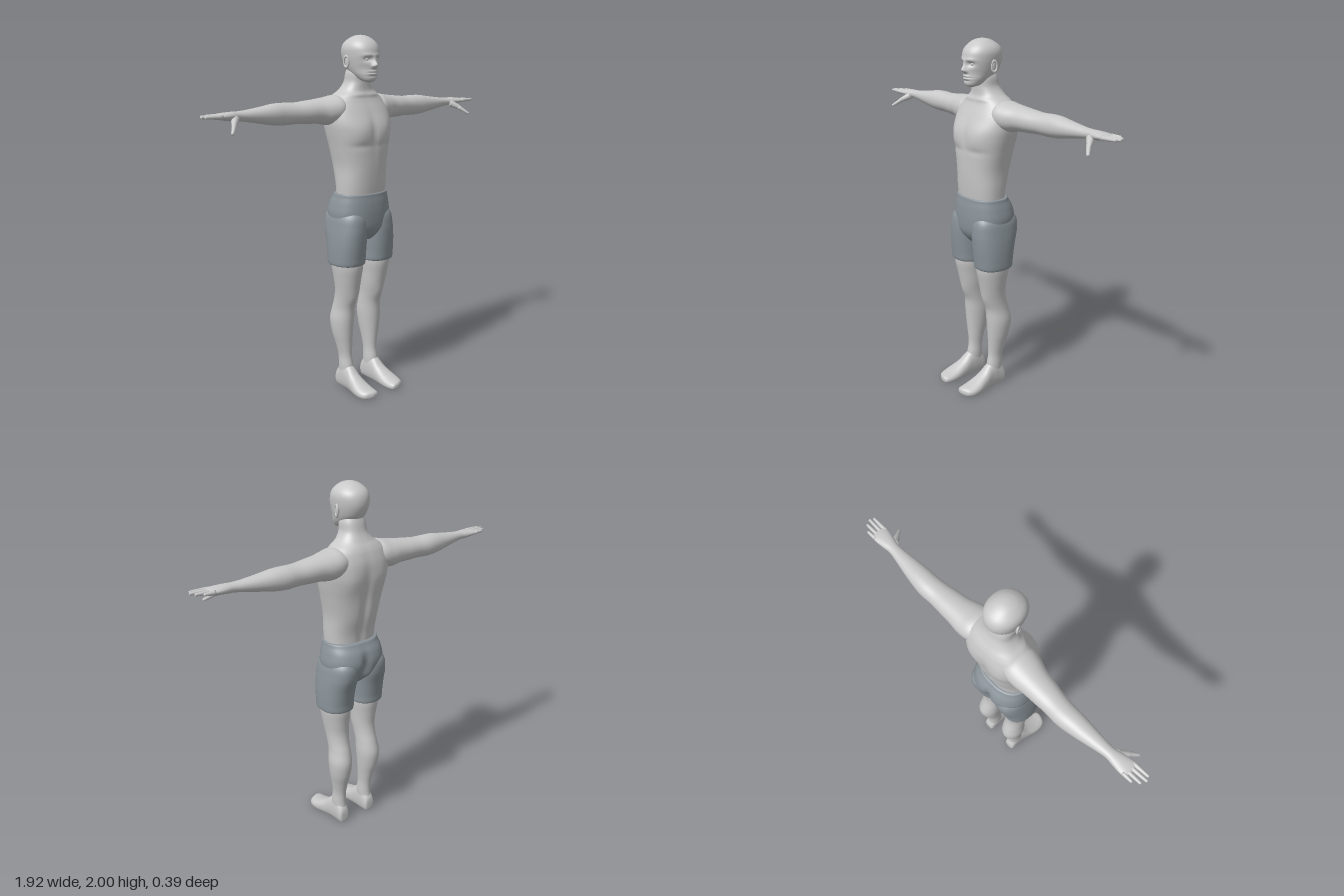
import * as THREE from 'three';

const skin = new THREE.MeshStandardMaterial({ color: 0xc8c8c8 });
skin.name = 'skin';
const cloth = new THREE.MeshStandardMaterial({ color: 0x8b949a });
cloth.name = 'cloth';

// Axis order: [t, a, b] -> xyz
const AXES = {
  x: (t, a, b) => [t, a, b],
  y: (t, a, b) => [a, t, b],
  z: (t, a, b) => [a, b, t],
};

// Catmull-Rom blend of neighbouring section rows
function rowAt(rows, f) {
  const i = Math.min(Math.floor(f), rows.length - 2), u = f - i;
  const r = (k) => rows[Math.max(0, Math.min(rows.length - 1, k))];
  return rows[i].map((_, c) => {
    const p0 = r(i - 1)[c], p1 = r(i)[c], p2 = r(i + 1)[c], p3 = r(i + 2)[c];
    return p1 + 0.5 * u * (p2 - p0 + u * (2 * p0 - 5 * p1 + 4 * p2 - p3 + u * (3 * (p1 - p2) + p3 - p0)));
  });
}

// Soft mirrored swelling: [cx,cy,cz, sx,sy,sz, dx,dy,dz]
function sculpt(p, bumps) {
  const [x, y, z] = p, side = x < 0 ? -1 : 1;
  for (const [cx, cy, cz, sx, sy, sz, dx, dy, dz] of bumps) {
    const w = Math.exp(-(((Math.abs(x) - cx) / sx) ** 2 + ((y - cy) / sy) ** 2 + ((z - cz) / sz) ** 2) / 2);
    p[0] += side * dx * w;
    p[1] += dy * w;
    p[2] += dz * w;
  }
  return p;
}

// Closed smooth body through rows [t, a0, a1, b0, b1]
function loft(rows, { axis = 'y', power = 2, ring = 40, steps = 5, bumps = [], side = 1, floor = false } = {}) {
  const pos = [], idx = [], n = (rows.length - 1) * steps;
  const put = (t, a, b) => {
    const p = sculpt(AXES[axis](t, a, b), bumps);
    pos.push(p[0] * side, floor ? Math.max(0, p[1]) : p[1], p[2]);
  };
  const round = (v) => Math.sign(v) * Math.abs(v) ** (2 / power);
  for (let i = 0; i <= n; i++) {
    const [t, a0, a1, b0, b1] = rowAt(rows, i / steps);
    for (let j = 0; j < ring; j++) {
      const g = (j / ring) * Math.PI * 2;
      put(t, (a0 + a1) / 2 + ((a1 - a0) / 2) * round(Math.cos(g)), (b0 + b1) / 2 + ((b1 - b0) / 2) * round(Math.sin(g)));
    }
  }
  for (let i = 0; i < n; i++) for (let j = 0; j < ring; j++) {
    const k = (j + 1) % ring, a = i * ring + j, b = i * ring + k;
    idx.push(a, b, b + ring, a, b + ring, a + ring);
  }
  const cap = (row, first, flip) => {
    const c = pos.length / 3;
    put(row[0], (row[1] + row[2]) / 2, (row[3] + row[4]) / 2);
    for (let j = 0; j < ring; j++) {
      const a = first + j, b = first + (j + 1) % ring;
      if (flip) idx.push(c, b, a); else idx.push(c, a, b);
    }
  };
  cap(rows[0], 0, true);
  cap(rows[rows.length - 1], n * ring, false);

  // Turn faces outward by the sign of the enclosed volume
  let volume = 0;
  const v = (i) => new THREE.Vector3().fromArray(pos, idx[i] * 3);
  for (let i = 0; i < idx.length; i += 3) volume += v(i).dot(v(i + 1).cross(v(i + 2)));
  if (volume < 0) idx.reverse();
  const geo = new THREE.BufferGeometry();
  geo.setAttribute('position', new THREE.Float32BufferAttribute(pos, 3));
  geo.setIndex(idx);
  geo.computeVertexNormals();
  return geo;
}

function add(parent, name, geo, mat = skin) {
  const m = new THREE.Mesh(geo, mat);
  m.name = name;
  parent.add(m);
  return m;
}

// Tapered round-ended digit between two points
function digit(parent, name, from, to, r0, r1) {
  const a = new THREE.Vector3(...from), d = new THREE.Vector3(...to).sub(a), L = d.length();
  const rows = [[0, r0], [L * 0.5, (r0 + r1) / 2], [L - r1, r1], [L - r1 * 0.35, r1 * 0.75], [L, r1 * 0.1]]
    .map(([t, r]) => [t, -r, r, -r, r]);
  const m = add(parent, name, loft(rows, { ring: 14, steps: 3 }));
  m.position.copy(a);
  m.quaternion.setFromUnitVectors(new THREE.Vector3(0, 1, 0), d.normalize());
}

const symmetric = (rows) => rows.map(([y, w, z0, z1]) => [y, -w, w, z0, z1]);

export function createModel() {
  const body = new THREE.Group();
  body.name = 'figure';

  // Torso and neck, with chest, breastbone, spine and shoulder blades
  add(body, 'torso', loft(symmetric([
    [1.11, 0.145, -0.122, 0.082], [1.2, 0.149, -0.13, 0.091], [1.3, 0.153, -0.155, 0.097],
    [1.4, 0.172, -0.17, 0.098], [1.48, 0.19, -0.182, 0.096], [1.54, 0.2, -0.187, 0.087],
    [1.6, 0.198, -0.185, 0.064], [1.65, 0.175, -0.172, 0.04], [1.68, 0.142, -0.158, 0.028],
    [1.71, 0.1, -0.138, 0.021], [1.75, 0.073, -0.118, 0.02], [1.8, 0.067, -0.105, 0.02], [1.84, 0.05, -0.09, 0],
  ]), {
    power: 2.35, ring: 96, steps: 8, bumps: [
      [0.085, 1.49, 0.09, 0.055, 0.05, 0.06, 0, 0, 0.013],
      [0.09, 1.415, 0.1, 0.05, 0.012, 0.05, 0, 0, -0.005],
      [0, 1.5, 0.1, 0.012, 0.07, 0.05, 0, 0, -0.005],
      [0, 1.33, -0.17, 0.017, 0.15, 0.05, 0, 0, 0.015],
      [0.1, 1.52, -0.17, 0.04, 0.05, 0.04, 0, 0, -0.009],
      [0.05, 1.685, 0.02, 0.05, 0.009, 0.03, 0, 0, 0.005],
    ],
  }));

  // Head with brow, eye sockets, nose, lips and chin
  const head = new THREE.Group();
  head.name = 'head';
  body.add(head);
  add(head, 'skull', loft(symmetric([
    [1.752, 0.015, 0.035, 0.065], [1.763, 0.04, 0, 0.082], [1.79, 0.06, -0.055, 0.088], [1.82, 0.073, -0.1, 0.088],
    [1.85, 0.082, -0.122, 0.09], [1.89, 0.09, -0.135, 0.092], [1.93, 0.092, -0.133, 0.086], [1.96, 0.08, -0.117, 0.068],
    [1.985, 0.052, -0.082, 0.036], [1.997, 0.025, -0.05, 0.004], [2, 0.002, -0.025, -0.021],
  ]), {
    power: 2.1, ring: 128, steps: 10, bumps: [
      [0, 1.843, 0.09, 0.009, 0.011, 0.04, 0, 0, 0.022],
      [0, 1.867, 0.09, 0.008, 0.016, 0.04, 0, 0, 0.011],
      [0.012, 1.837, 0.09, 0.006, 0.006, 0.03, 0, 0, 0.008],
      [0.033, 1.873, 0.085, 0.016, 0.01, 0.04, 0, 0, -0.013],
      [0.03, 1.894, 0.085, 0.024, 0.007, 0.04, 0, 0, 0.005],
      [0, 1.809, 0.09, 0.017, 0.004, 0.04, 0, 0, 0.007],
      [0, 1.796, 0.09, 0.015, 0.004, 0.04, 0, 0, 0.007],
      [0, 1.803, 0.09, 0.022, 0.002, 0.04, 0, 0, -0.005],
      [0, 1.785, 0.09, 0.02, 0.004, 0.04, 0, 0, -0.004],
      [0.055, 1.825, 0.06, 0.018, 0.018, 0.04, 0, 0, -0.004],
    ],
  }));

  for (const side of [1, -1]) {
    const label = side > 0 ? 'left' : 'right';
    const half = new THREE.Group();
    half.name = label + 'Limbs';
    body.add(half);

    // Eye and ear
    add(head, label + 'Eye', new THREE.SphereGeometry(0.012, 20, 14)).position.set(side * 0.033, 1.873, 0.064);
    const ear = add(head, label + 'Ear', new THREE.TorusGeometry(0.02, 0.006, 10, 28));
    ear.scale.set(0.75, 1.4, 1);
    ear.rotation.y = side * (Math.PI / 2 - 0.3);
    ear.position.set(side * 0.091, 1.86, -0.032);
    const lobe = add(head, label + 'EarBowl', new THREE.SphereGeometry(0.02, 16, 12));
    lobe.scale.set(0.4, 1.4, 0.75);
    lobe.position.set(side * 0.086, 1.86, -0.03);

    // Arm from shoulder to palm
    add(half, label + 'Arm', loft([
      [0.08, 1.57, 1.66, -0.15, -0.01], [0.14, 1.535, 1.684, -0.17, 0.025], [0.2, 1.527, 1.676, -0.172, 0.016],
      [0.26, 1.537, 1.668, -0.166, -0.005], [0.33, 1.54, 1.661, -0.163, -0.017], [0.4, 1.543, 1.655, -0.16, -0.03],
      [0.47, 1.541, 1.657, -0.163, -0.037], [0.53, 1.545, 1.655, -0.157, -0.039], [0.6, 1.557, 1.645, -0.145, -0.045],
      [0.7, 1.575, 1.633, -0.125, -0.055], [0.75, 1.582, 1.63, -0.118, -0.056], [0.79, 1.584, 1.63, -0.122, -0.047],
      [0.84, 1.592, 1.627, -0.127, -0.038], [0.87, 1.599, 1.622, -0.124, -0.039], [0.882, 1.606, 1.615, -0.11, -0.055],
    ], { axis: 'x', power: 2.1, side }));

    // Fingers, from index to little, and thumb
    const fingers = [[-0.047, 0.952, -0.045], [-0.07, 0.962, -0.066], [-0.093, 0.948, -0.094], [-0.115, 0.915, -0.118]];
    fingers.forEach(([z, tipX, tipZ], i) =>
      digit(half, label + 'Finger' + (i + 1), [side * 0.855, 1.61, z], [side * tipX, 1.613, tipZ], 0.012, 0.0075));
    digit(half, label + 'ThumbBase', [side * 0.772, 1.597, -0.065], [side * 0.82, 1.562, -0.006], 0.021, 0.012);
    digit(half, label + 'Thumb', [side * 0.805, 1.572, -0.022], [side * 0.848, 1.532, 0.026], 0.013, 0.008);

    // Leg with knee and calf
    add(half, label + 'Leg', loft([
      [0.82, 0.02, 0.185, -0.12, 0.075], [0.74, 0.018, 0.183, -0.12, 0.078], [0.67, 0.025, 0.173, -0.11, 0.065],
      [0.6, 0.031, 0.162, -0.104, 0.049], [0.54, 0.037, 0.157, -0.112, 0.03], [0.48, 0.039, 0.158, -0.13, 0.014],
      [0.41, 0.039, 0.166, -0.145, 0.009], [0.33, 0.046, 0.158, -0.134, 0.003], [0.26, 0.054, 0.143, -0.112, -0.002],
      [0.19, 0.06, 0.131, -0.095, -0.004], [0.13, 0.058, 0.132, -0.092, 0.006], [0.08, 0.06, 0.13, -0.096, 0.01],
      [0.04, 0.065, 0.125, -0.09, 0],
    ], { side, bumps: [[0.095, 0.55, 0.03, 0.025, 0.03, 0.04, 0, 0, 0.007]] }));

    // Foot with a flat sole
    add(half, label + 'Foot', loft([
      [-0.106, 0.08, 0.112, 0.02, 0.055], [-0.097, 0.063, 0.13, -0.01, 0.095], [-0.05, 0.058, 0.133, -0.02, 0.15],
      [0, 0.057, 0.136, -0.02, 0.135], [0.05, 0.053, 0.146, -0.02, 0.093], [0.1, 0.048, 0.157, -0.02, 0.065],
      [0.145, 0.048, 0.157, -0.018, 0.048], [0.178, 0.052, 0.143, -0.012, 0.04], [0.194, 0.06, 0.115, -0.004, 0.034],
      [0.2, 0.072, 0.098, 0.008, 0.024],
    ], { axis: 'z', power: 2.2, side, floor: true }));

    // Trouser leg of the shorts, with turned-in hem
    add(half, label + 'ShortsLeg', loft([
      [0.752, 0.03, 0.178, -0.11, 0.06], [0.753, 0.01, 0.197, -0.13, 0.083], [0.8, 0.008, 0.2, -0.135, 0.09],
      [0.88, 0.005, 0.198, -0.15, 0.098], [0.96, 0.003, 0.19, -0.173, 0.101], [1.03, 0.008, 0.175, -0.17, 0.09],
      [1.08, 0.04, 0.13, -0.12, 0.04],
    ], { power: 2.3, ring: 56, steps: 6, side }), cloth);
  }

  // Seat and waist of the shorts, with a parted back
  add(body, 'shortsSeat', loft(symmetric([
    [0.885, 0.05, -0.08, 0.05], [0.92, 0.11, -0.125, 0.08], [0.96, 0.165, -0.158, 0.097], [1.03, 0.181, -0.178, 0.102],
    [1.09, 0.173, -0.17, 0.1], [1.13, 0.162, -0.148, 0.095], [1.148, 0.157, -0.137, 0.092], [1.15, 0.14, -0.12, 0.08],
  ]), {
    power: 2.35, ring: 96, steps: 8, bumps: [
      [0, 0.99, -0.17, 0.016, 0.06, 0.05, 0, 0, 0.03],
      [0.085, 1.02, -0.16, 0.045, 0.05, 0.04, 0, 0, -0.005],
    ],
  }), cloth);

  return body;
}
